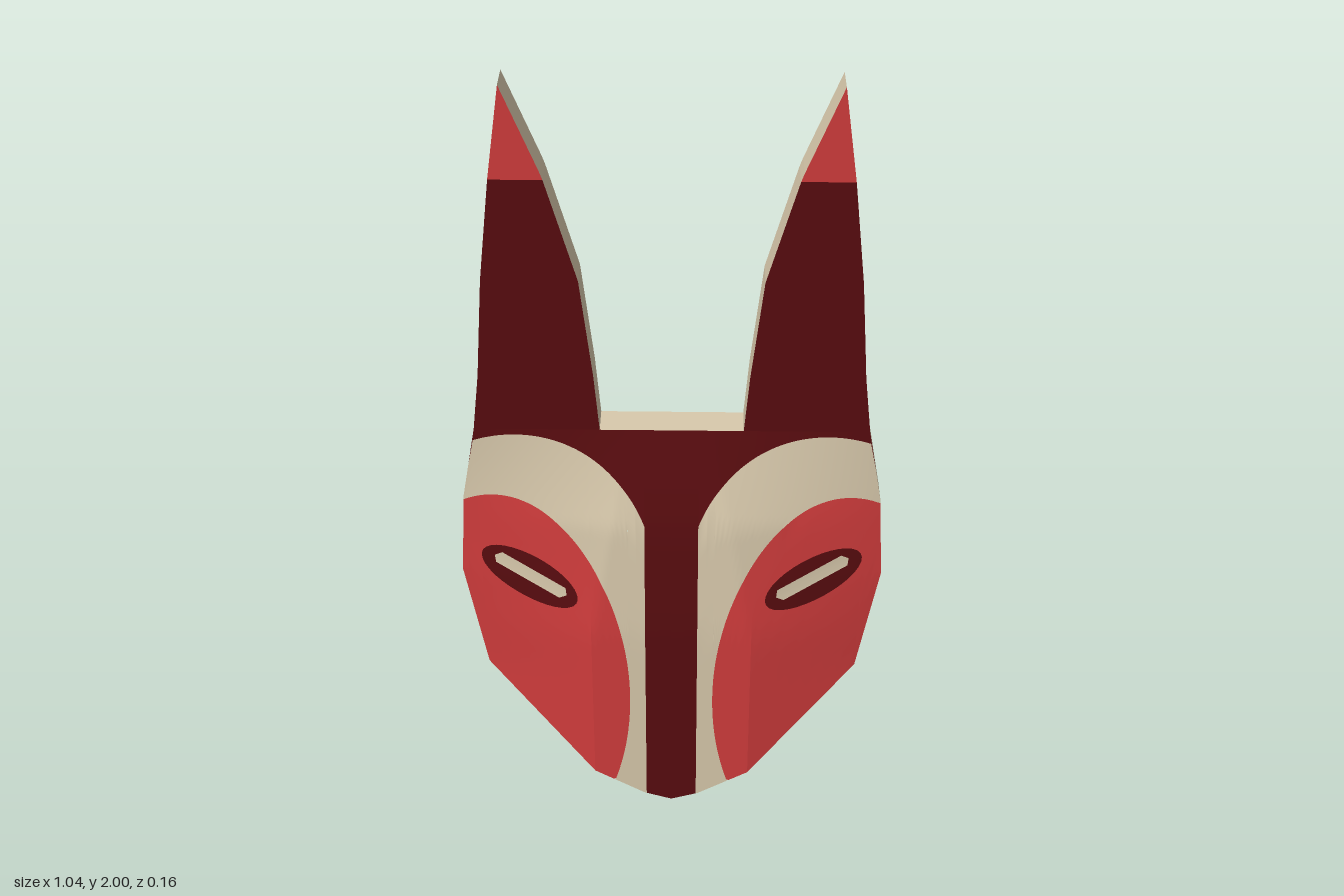
import * as THREE from 'three';

const BACK = -0.08, BROW = 1.13, TIP = 1.78;
const paint = (name, color) => Object.assign(new THREE.MeshStandardMaterial({ color }), { name });

// Piecewise linear lookup through [key, value] pairs
function lerpTable(table, k) {
  if (k <= table[0][0]) return table[0][1];
  for (let i = 1; i < table.length; i++) {
    const [k0, v0] = table[i - 1], [k1, v1] = table[i];
    if (k <= k1) return v0 + (v1 - v0) * (k - k0) / (k1 - k0);
  }
  return table[table.length - 1][1];
}

// Half outline of the mask, from the chin round the cheek and ear to the brow
const chin = [[0, 0], [0.07, 0.022], [0.2, 0.1], [0.47, 0.41], [0.52, 0.71]];
const cheek = [[0.505, 0.93], [0.468, BROW]];
const earOuter = [[0.45, 1.28], [0.43, 1.53], [0.4, TIP]];
const earTip = [[0.367, 2], [0.287, 1.8], [0.28, TIP]];
const earInner = [[0.21, 1.53], [0.182, 1.28], [0.17, BROW]];
const half = [...chin, ...cheek, ...earOuter, ...earTip, ...earInner];
const outline = [...half, ...half.slice(1).reverse().map(([x, y]) => [-x, y])];

// Relief of the face: a raised middle sloping to the cheeks and the brow
const ridge = [[0.57, 0.08], [0.88, 0.061], [BROW, 0]];
const width = [[0.41, 0.47], [0.71, 0.52], [0.93, 0.505], [BROW, 0.468]];
const flat = [[0.55, 0.2], [BROW, 0.1]];
function relief(x, y) {
  const w = lerpTable(width, y), c = lerpTable(flat, y);
  return lerpTable(ridge, y) * THREE.MathUtils.clamp((w - Math.abs(x)) / (w - c), 0, 1);
}

// Borders of the painted areas, as heights over x
const bottom = x => lerpTable(chin, x);
const top = x => lerpTable([[0, BROW], [0.468, BROW], [0.505, 0.93], [0.52, 0.71]], x);
const arc = (x, cx, a) => Math.sqrt(Math.max(0, 1 - ((x - cx) / a) ** 2));
const redLow = x => Math.max(bottom(x), 0.36 - 0.585 * arc(x, 0.42, 0.315));
const redHigh = x => Math.min(top(x), 0.36 + 0.585 * arc(x, 0.42, 0.315));
const creamHigh = x => Math.min(top(x), 0.75 + 0.365 * arc(x, 0.37, 0.33));

function gridGeometry(rows, flip) {
  const n = rows[0].length, index = [];
  for (let i = 0; i < rows.length - 1; i++) {
    for (let j = 0; j < n - 1; j++) {
      const a = i * n + j, b = a + n, c = b + 1, d = a + 1;
      index.push(...(flip ? [a, c, b, a, d, c] : [a, b, c, a, c, d]));
    }
  }
  const geo = new THREE.BufferGeometry();
  geo.setAttribute('position', new THREE.Float32BufferAttribute(rows.flat(2), 3));
  geo.setIndex(index);
  geo.computeVertexNormals();
  return geo;
}

// Area of the face between two borders, on side s
function band(low, high, x0, x1, s) {
  const xs = [0.07, 0.2, 0.468, 0.47, 0.505].filter(x => x > x0 && x < x1);
  for (let i = 0; i <= 48; i++) xs.push(x0 + (x1 - x0) * (i / 48) ** 2);
  xs.sort((a, b) => a - b);
  const rows = xs.map(x => Array.from({ length: 17 }, (_, j) => {
    const y = low(x) + (high(x) - low(x)) * j / 16;
    return [s * x, y, relief(x, y)];
  }));
  return gridGeometry(rows, s < 0);
}

// Thin painted patch that follows the relief, from a closed loop round a centre
function patch(loop, cx, cy, angle, lift, s) {
  const rows = loop.concat([loop[0]]).map(([u, v]) => Array.from({ length: 6 }, (_, j) => {
    const r = j / 5;
    const x = cx + r * (u * Math.cos(angle) - v * Math.sin(angle));
    const y = cy + r * (u * Math.sin(angle) + v * Math.cos(angle));
    return [s * x, y, relief(x, y) + lift];
  }));
  return gridGeometry(rows, s > 0);
}

function polygon(points, s = 1) {
  return new THREE.ShapeGeometry(new THREE.Shape(points.map(([x, y]) => new THREE.Vector2(s * x, y))));
}

// Rim that joins the back to the edge of the face
function rimGeometry() {
  const pos = [];
  outline.forEach((p, i) => {
    const q = outline[(i + 1) % outline.length];
    const a = [...p, BACK], b = [...q, BACK], c = [...q, relief(...q)], d = [...p, relief(...p)];
    pos.push(...a, ...b, ...c, ...a, ...c, ...d);
  });
  const geo = new THREE.BufferGeometry();
  geo.setAttribute('position', new THREE.Float32BufferAttribute(pos, 3));
  geo.computeVertexNormals();
  return geo;
}

export function createModel() {
  const dark = paint('dark maroon', 0x580c0f);
  const red = paint('red', 0xd03c3c);
  const cream = paint('cream', 0xd8c9ac);
  const mask = new THREE.Group();
  mask.name = 'mask';
  const add = (name, geo, mat) => {
    const mesh = new THREE.Mesh(geo, mat);
    mesh.name = name;
    mask.add(mesh);
    return mesh;
  };

  add('rim', rimGeometry(), cream);
  const back = add('back', polygon(outline), dark);
  back.rotation.y = Math.PI;
  back.position.z = BACK;

  // Eye shapes: an oval and a narrow slit with pointed corners
  const oval = Array.from({ length: 32 }, (_, i) => {
    const t = i / 32 * Math.PI * 2;
    return [0.131 * Math.cos(t), 0.062 * Math.sin(t)];
  });
  const slit = [[0.1, 0], [0.088, 0.018], [-0.088, 0.018], [-0.1, 0], [-0.088, -0.018], [0.088, -0.018]];

  for (const [side, s] of [['left', 1], ['right', -1]]) {
    // Face paint
    add(side + 'NoseStripe', band(bottom, top, 0, 0.065, s), dark);
    add(side + 'Forehead', band(creamHigh, top, 0.065, 0.505, s), dark);
    add(side + 'Muzzle', band(bottom, creamHigh, 0.065, 0.105, s), cream);
    add(side + 'Jaw', band(bottom, redLow, 0.105, 0.2, s), cream);
    add(side + 'BrowArch', band(redHigh, creamHigh, 0.105, 0.505, s), cream);
    add(side + 'Cheek', band(redLow, redHigh, 0.105, 0.52, s), red);
    // Eyes
    add(side + 'Eye', patch(oval, 0.35, 0.717, 0.5, 0.003, s), dark);
    add(side + 'EyeSlit', patch(slit, 0.347, 0.724, 0.49, 0.006, s), cream);
    // Ears
    add(side + 'Ear', polygon([cheek[1], ...earOuter, earTip[2], ...earInner], s), dark);
    add(side + 'EarTip', polygon([earOuter[2], ...earTip], s), red);
  }
  return mask;
}
